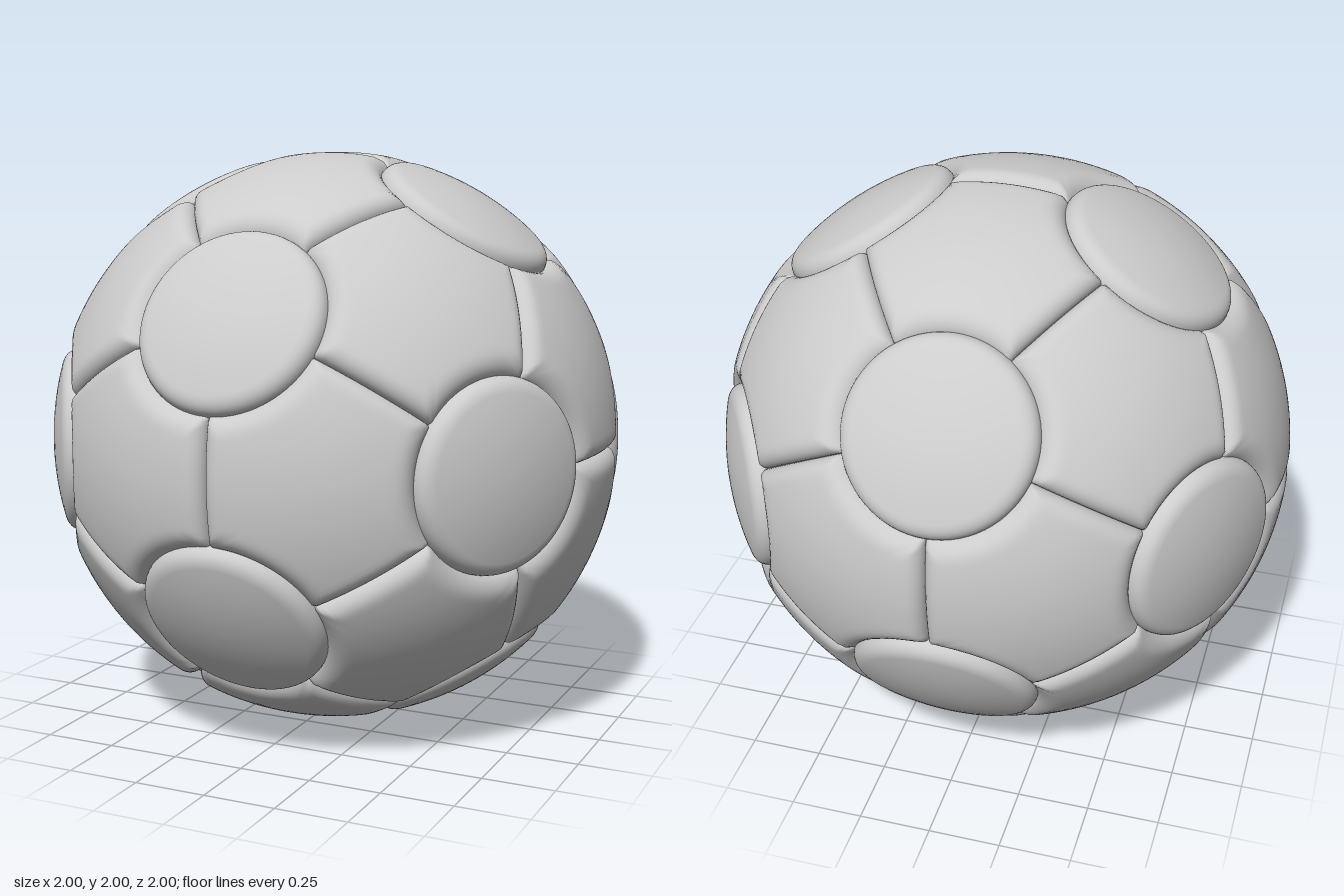
import * as THREE from 'three';

const PAD_ANGLE = THREE.MathUtils.degToRad(18.7); // where panels end beneath the round pads
const EDGE_ANGLE = 0.36486;  // panel centre to seam
const CORNER_ANGLE = 0.65236; // panel centre to pad centre

const polar = (angle, az) => new THREE.Vector3(
  Math.sin(angle) * Math.cos(az), Math.sin(angle) * Math.sin(az), Math.cos(angle));

// Six-sided cushion panel centred on +z: three straight seams, three arcs around pads
function panelGeometry() {
  const third = Math.PI * 2 / 3;
  const pads = [0, 1, 2].map(i => polar(CORNER_ANGLE, i * third));
  const seams = [0, 1, 2].map(i => polar(Math.PI / 2 - EDGE_ANGLE, (i + 0.5) * third + Math.PI));
  const seamGap = p => Math.min(...seams.map(n => Math.asin(n.dot(p))));
  const padGap = p => Math.min(...pads.map(c => c.angleTo(p))) - PAD_ANGLE;
  // rounded shoulder of the given width and depth
  const drop = (d, width, depth) => {
    const k = 1 - THREE.MathUtils.clamp(d / width, 0, 1);
    return depth * (1 - Math.sqrt(1 - k * k));
  };
  const SEG = 144, RINGS = 18;
  const pos = [0, 0, 1], idx = [];
  for (let i = 0; i < SEG; i++) {
    const az = i / SEG * Math.PI * 2;
    let lo = 0, hi = 0.6;
    for (let k = 0; k < 30; k++) {
      const mid = (lo + hi) / 2, p = polar(mid, az);
      if (Math.min(seamGap(p), padGap(p)) > 0) lo = mid; else hi = mid;
    }
    for (let j = 1; j <= RINGS; j++) {
      const p = polar(lo * (1 - (1 - j / RINGS) ** 2), az);
      const r = 1 - Math.max(drop(seamGap(p), 0.06, 0.055), drop(padGap(p), 0.085, 0.075));
      pos.push(...p.multiplyScalar(r).toArray());
      const a = 1 + i * RINGS + j - 1, b = 1 + ((i + 1) % SEG) * RINGS + j - 1;
      if (j === 1) idx.push(0, a, b);
      else idx.push(a - 1, a, b, a - 1, b, b - 1);
    }
  }
  const g = new THREE.BufferGeometry();
  g.setAttribute('position', new THREE.Float32BufferAttribute(pos, 3));
  g.setIndex(idx);
  g.computeVertexNormals();
  return g;
}

// Round domed pad along +y with a soft rim
function padGeometry() {
  const pts = [new THREE.Vector2(0.26, 0.85), new THREE.Vector2(0.305, 0.875)];
  const start = THREE.MathUtils.degToRad(15.8);
  const rim = new THREE.QuadraticBezierCurve(
    new THREE.Vector2(0.32, 0.897), new THREE.Vector2(0.321, 0.948),
    new THREE.Vector2(Math.sin(start), Math.cos(start)));
  pts.push(...rim.getPoints(10));
  for (let i = 7; i >= 0; i--) {
    const a = start * i / 8;
    pts.push(new THREE.Vector2(Math.sin(a), Math.cos(a)));
  }
  return new THREE.LatheGeometry(pts, 72);
}

export function createModel() {
  const ball = new THREE.Group();
  ball.name = 'ball';
  const grey = new THREE.MeshStandardMaterial({ color: 0xcccccc });
  grey.name = 'light grey';

  // Twelve pad directions
  const phi = (1 + Math.sqrt(5)) / 2, dirs = [];
  for (const s of [-1, 1]) for (const t of [-phi, phi]) {
    dirs.push(new THREE.Vector3(0, s, t), new THREE.Vector3(t, 0, s), new THREE.Vector3(s, t, 0));
  }
  dirs.forEach(d => d.normalize());

  const padGeo = padGeometry(), panelGeo = panelGeometry();
  const up = new THREE.Vector3(0, 1, 0);
  for (const d of dirs) {
    const pad = new THREE.Mesh(padGeo, grey);
    pad.name = 'roundPad';
    pad.quaternion.setFromUnitVectors(up, d);
    pad.position.y = 1;
    ball.add(pad);
  }

  // One panel between every three neighbouring pads
  const near = (a, b) => dirs[a].dot(dirs[b]) > 0.4;
  for (let a = 0; a < 12; a++) for (let b = a + 1; b < 12; b++) for (let c = b + 1; c < 12; c++) {
    if (!near(a, b) || !near(b, c) || !near(a, c)) continue;
    const z = dirs[a].clone().add(dirs[b]).add(dirs[c]).normalize();
    const x = dirs[a].clone().addScaledVector(z, -dirs[a].dot(z)).normalize();
    const y = new THREE.Vector3().crossVectors(z, x);
    const panel = new THREE.Mesh(panelGeo, grey);
    panel.name = 'sixSidedPanel';
    panel.quaternion.setFromRotationMatrix(new THREE.Matrix4().makeBasis(x, y, z));
    panel.position.y = 1;
    ball.add(panel);
  }
  return ball;
}
